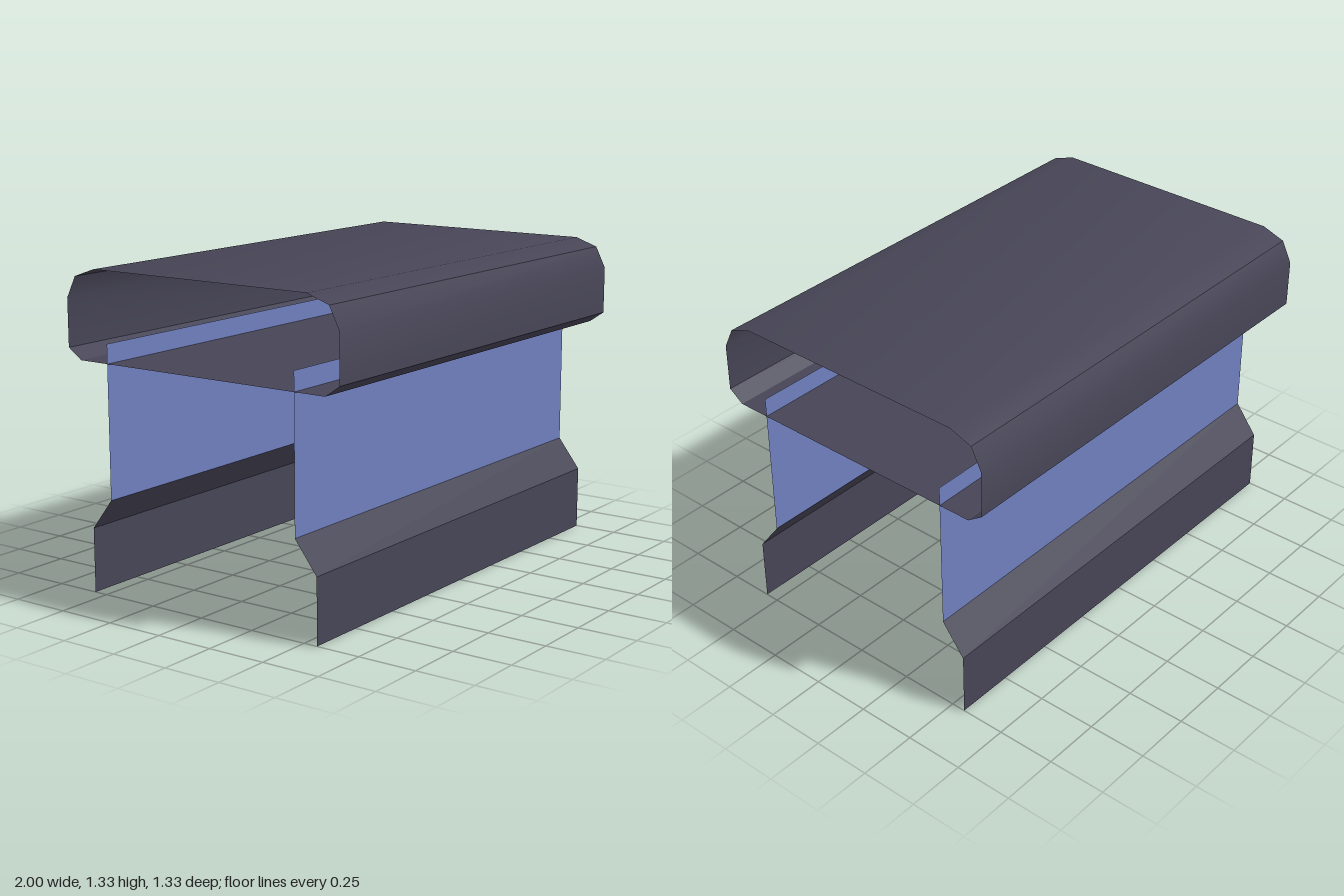
import * as THREE from 'three';
import { toCreasedNormals } from 'three/addons/utils/BufferGeometryUtils.js';

const darkGrey = new THREE.MeshStandardMaterial({ color: 0x474556, side: THREE.DoubleSide });
darkGrey.name = 'dark grey';
const blue = new THREE.MeshStandardMaterial({ color: 0x6f7fbf, side: THREE.DoubleSide });
blue.name = 'blue';

// Sweeps a [z, y] profile along x from -1 to 1 as an open sheet
function sheet(name, profile, material) {
  const positions = [];
  const index = [];
  profile.forEach(([z, y], i) => {
    positions.push(-1, y, z, 1, y, z);
    if (i > 0) {
      const a = 2 * (i - 1);
      index.push(a, a + 1, a + 3, a, a + 3, a + 2);
    }
  });
  const geometry = new THREE.BufferGeometry();
  geometry.setAttribute('position', new THREE.Float32BufferAttribute(positions, 3));
  geometry.setIndex(index);
  const mesh = new THREE.Mesh(toCreasedNormals(geometry, Math.PI / 6), material);
  mesh.name = name;
  return mesh;
}

// Same profile on the back side, reversed so it still faces outward
const mirror = (profile) => profile.map(([z, y]) => [-z, y]).reverse();

export function createModel() {
  const model = new THREE.Group();
  model.name = 'coveredSection';

  // Hollow roof: lip, rounded shoulder and flat top, closed by a floor sheet
  const shoulder = [[0.6, 0.955], [0.665, 1.0], [0.665, 1.2], [0.62, 1.29], [0.52, 1.325]];
  model.add(sheet('roof', [...shoulder, ...mirror(shoulder), shoulder[0]], darkGrey));

  // Upright walls, reaching a little way into the roof
  const wall = [[0.46, 0.4], [0.46, 1.035]];
  model.add(sheet('frontWall', wall, blue));
  model.add(sheet('backWall', mirror(wall), blue));

  // Flared skirts below the walls
  const skirt = [[0.56, 0], [0.56, 0.27], [0.46, 0.4]];
  model.add(sheet('frontSkirt', skirt, darkGrey));
  model.add(sheet('backSkirt', mirror(skirt), darkGrey));

  return model;
}
